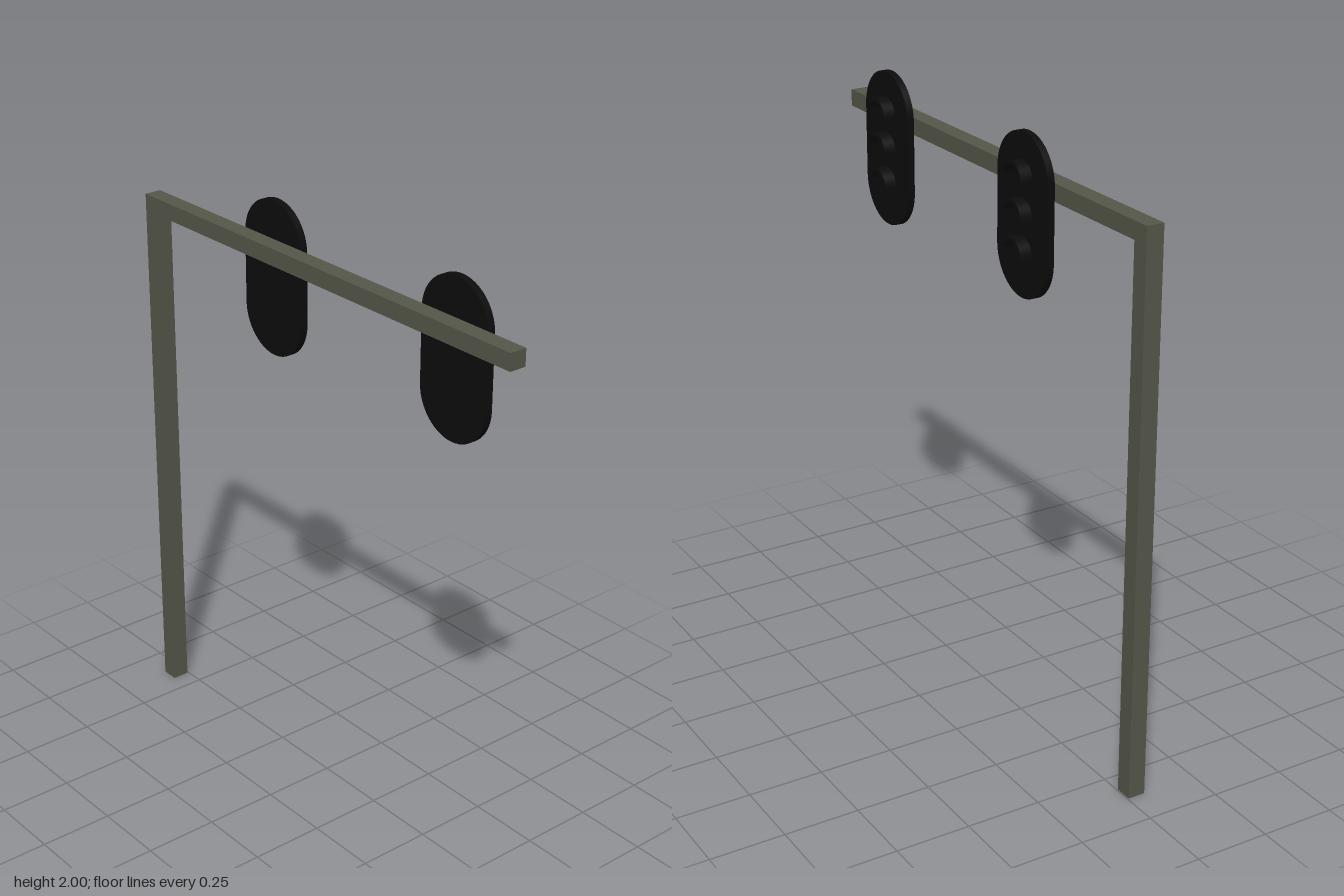
import * as THREE from 'three';

const poleMaterial = new THREE.MeshStandardMaterial({ color: 0x55574a });
const signalMaterial = new THREE.MeshStandardMaterial({ color: 0x0c0c0c });

const LAMP_HEIGHTS = [1.857, 1.738, 1.618];
const PLATE_RADIUS = 0.143;
const HOOD_RADIUS = 0.058;
const HOOD_INNER = 0.046;

function box(name, size, position) {
  const mesh = new THREE.Mesh(new THREE.BoxGeometry(...size), poleMaterial);
  mesh.name = name;
  mesh.position.set(...position);
  return mesh;
}

// Extrude a shape drawn in the z-y plane so that it spans x0 to x1
function slab(name, shape, x0, x1) {
  const geometry = new THREE.ExtrudeGeometry(shape, {
    depth: x1 - x0, bevelEnabled: false, curveSegments: 24,
  });
  geometry.rotateY(Math.PI / 2);
  const mesh = new THREE.Mesh(geometry, signalMaterial);
  mesh.name = name;
  mesh.position.x = x0;
  return mesh;
}

function createSignal(z) {
  const signal = new THREE.Group();
  signal.name = 'signalHead';

  // Backing plate with semicircular ends
  const plate = new THREE.Shape();
  plate.absarc(0, LAMP_HEIGHTS[0], PLATE_RADIUS, 0, Math.PI, false);
  plate.absarc(0, LAMP_HEIGHTS[2], PLATE_RADIUS, Math.PI, 2 * Math.PI, false);
  plate.closePath();
  signal.add(slab('backPlate', plate, -0.004, 0.02));

  // Half-round hood over each lamp
  const arch = new THREE.Shape();
  arch.absarc(0, 0, HOOD_RADIUS, 0, Math.PI, false);
  arch.absarc(0, 0, HOOD_INNER, Math.PI, 0, true);
  arch.closePath();
  for (const y of LAMP_HEIGHTS) {
    const hood = slab('lampHood', arch, 0.019, 0.061);
    hood.position.y = y;
    signal.add(hood);
  }

  signal.position.z = z;
  return signal;
}

export function createModel() {
  const model = new THREE.Group();
  model.name = 'trafficSignal';

  // Post and overhead arm
  model.add(box('post', [0.059, 1.815, 0.059], [-0.0335, 0.9075, -0.8485]));
  model.add(box('overheadArm', [0.059, 0.057, 1.756], [-0.0335, 1.8435, 0]));

  for (const z of [-0.265, 0.584]) model.add(createSignal(z));
  return model;
}
